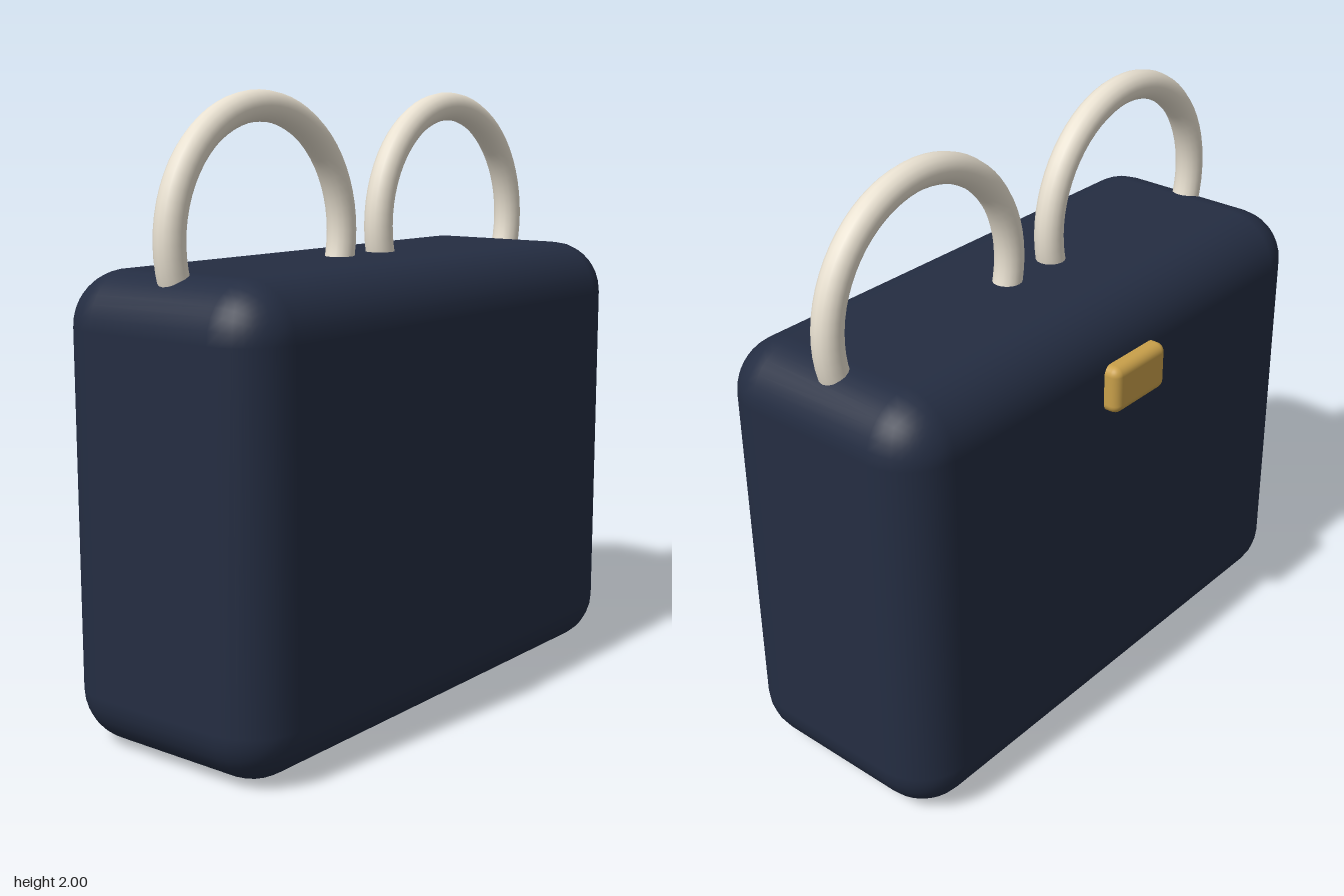
import * as THREE from 'three';
import { RoundedBoxGeometry } from 'three/addons/geometries/RoundedBoxGeometry.js';

const BODY_Z = 0.025;

function addPart(group, name, geometry, color, x, y, z) {
  const mesh = new THREE.Mesh(geometry, new THREE.MeshStandardMaterial({ color }));
  mesh.name = name;
  mesh.position.set(x, y, z);
  group.add(mesh);
}

export function createModel() {
  const bag = new THREE.Group();
  bag.name = 'handbag';

  // Softly rounded body
  addPart(bag, 'body', new RoundedBoxGeometry(1.97, 1.475, 0.82, 4, 0.175), 0x242d42, 0, 0.7375, BODY_Z);

  // Two ring handles, sunk into the top
  for (const side of [-1, 1]) {
    addPart(bag, side > 0 ? 'leftHandle' : 'rightHandle',
      new THREE.TorusGeometry(0.392, 0.048, 16, 64), 0xe8e0d0, side * 0.49, 1.56, BODY_Z);
  }

  // Clasp on the back
  addPart(bag, 'clasp', new RoundedBoxGeometry(0.26, 0.16, 0.1, 4, 0.03), 0xc9a04a, 0, 1.233, -0.385);

  return bag;
}
